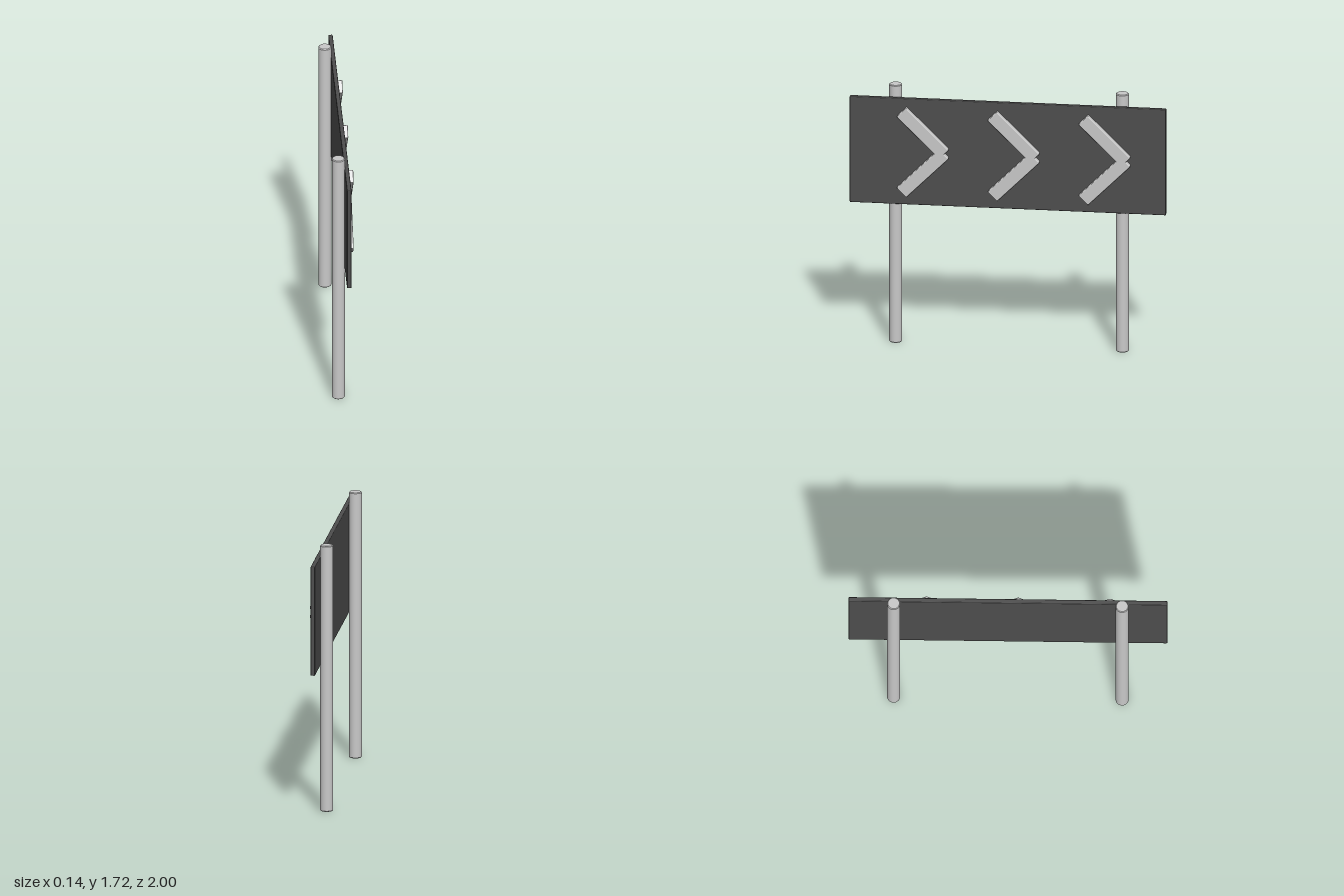
import * as THREE from 'three';
import { RoundedBoxGeometry } from 'three/addons/geometries/RoundedBoxGeometry.js';

export function createModel() {
  const model = new THREE.Group();
  model.name = 'chevronSign';

  const lightGrey = new THREE.MeshStandardMaterial({ name: 'lightGrey', color: 0xc8c8c8 });
  const darkGrey = new THREE.MeshStandardMaterial({ name: 'darkGrey', color: 0x4d4d4d });

  const add = (name, geometry, material, x, y, z, parent = model) => {
    const mesh = new THREE.Mesh(geometry, material);
    mesh.name = name;
    mesh.position.set(x, y, z);
    parent.add(mesh);
    return mesh;
  };

  // Dark panel facing +x
  add('board', new RoundedBoxGeometry(0.028, 0.705, 2, 2, 0.005), darkGrey, 0.021, 1.288, 0);

  // Round posts behind the panel, with slightly softened ends
  const R = 0.041, H = 1.715, B = 0.005;
  const profile = [[0, 0], [R - B, 0], [R - B, 0], [R, B], [R, B], [R, H - B], [R, H - B], [R - B, H], [R - B, H], [0, H]]
    .map(([r, y]) => new THREE.Vector2(r, y));
  const postGeometry = new THREE.LatheGeometry(profile, 32);
  for (const side of [1, -1]) {
    add(side > 0 ? 'leftPost' : 'rightPost', postGeometry, lightGrey, -0.031, 0, side * 0.717);
  }

  // Raised chevrons pointing to -z, each made of two crossed bars
  const barGeometry = new RoundedBoxGeometry(0.04, 0.085, 0.38, 2, 0.006);
  [0.535, -0.04, -0.615].forEach((z, i) => {
    const chevron = new THREE.Group();
    chevron.name = `chevron${i + 1}`;
    chevron.position.set(0.047, 1.289, z);
    model.add(chevron);
    for (const side of [1, -1]) {
      const bar = add(side > 0 ? 'upperBar' : 'lowerBar', barGeometry, lightGrey, 0, side * 0.133, 0, chevron);
      bar.rotation.x = -side * Math.PI / 4;
    }
  });

  return model;
}
